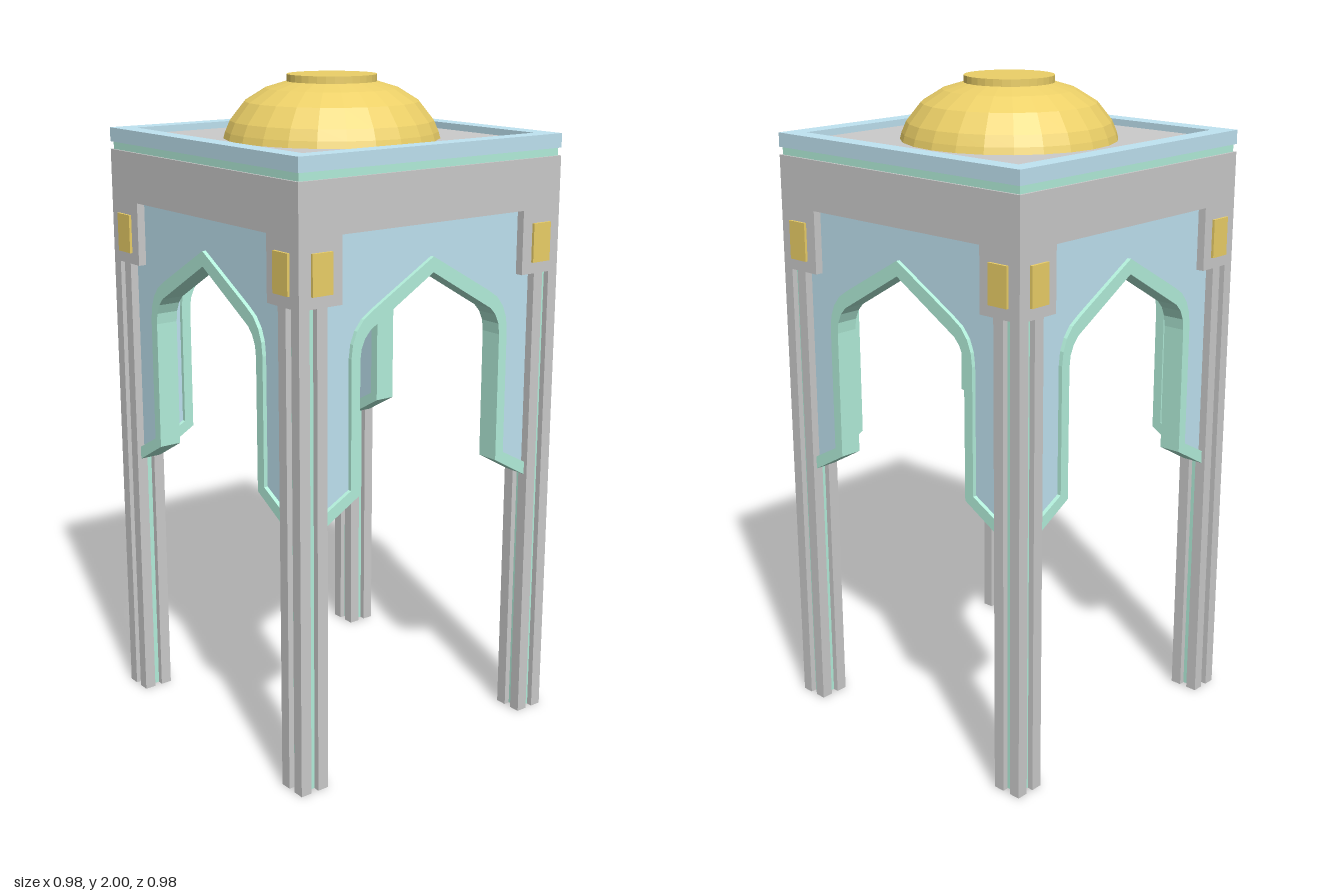
import * as THREE from 'three';

const mat = (color) => new THREE.MeshStandardMaterial({ color, flatShading: true });
const stone = mat(0xcccccc), blue = mat(0xc0e4f2), mint = mat(0xb4f0dc), gold = mat(0xecd068);

const OUT = 0.48, IN = 0.385, MID = (OUT + IN) / 2;

function add(parent, name, geometry, material, x = 0, y = 0, z = 0) {
  const mesh = new THREE.Mesh(geometry, material);
  mesh.name = name;
  mesh.position.set(x, y, z);
  parent.add(mesh);
  return mesh;
}

const box = (w, h, d) => new THREE.BoxGeometry(w, h, d);
const toShape = (pts) => new THREE.Shape(pts.map(([x, y]) => new THREE.Vector2(x, y)));
const extrude = (shape, depth) => new THREE.ExtrudeGeometry(shape, { depth, bevelEnabled: false });
// Extrude a plan outline upwards
const extrudeUp = (shape, height) => extrude(shape, height).rotateX(-Math.PI / 2);
const square = (r) => [[-r, -r], [r, -r], [r, r], [-r, r]];

function squareRing(outer, inner, height) {
  const shape = toShape(square(outer));
  shape.holes.push(new THREE.Path(square(inner).map(([x, y]) => new THREE.Vector2(x, y))));
  return extrudeUp(shape, height);
}

// Mirror the right half of an arch line (foot to apex) into a full line
const mirrorLine = (half) => [...half, ...half.slice(0, -1).reverse().map(([x, y]) => [-x, y])];
const archInner = mirrorLine([[IN, 0.8], [0.262, 0.87], [0.262, 1.26], [0.258, 1.293],
  [0.245, 1.322], [0.225, 1.344], [0.186, 1.367], [0, 1.477]]);
const archOuter = mirrorLine([[IN, 0.84], [0.293, 0.89], [0.293, 1.27], [0.288, 1.31],
  [0.274, 1.345], [0.25, 1.375], [0.212, 1.4], [0, 1.522]]);

// One face of the pavilion: spandrel panel, arch trim and corner plaques
function buildSide() {
  const side = new THREE.Group();
  side.name = 'archSide';
  const panel = toShape([...archOuter, [-IN, 1.63], [IN, 1.63]]);
  add(side, 'archPanel', extrude(panel, 0.045), blue, 0, 0, MID - 0.0225);
  const trim = toShape([...archInner, ...archOuter.slice().reverse()]);
  add(side, 'archTrim', extrude(trim, 0.07), mint, 0, 0, MID - 0.035);
  for (const s of [-1, 1]) {
    add(side, 'plaque', box(0.068, 0.116, 0.02), gold, s * 0.406, 1.522, 0.478);
  }
  return side;
}

// One corner: grooved leg with an inlaid core and an L-shaped bracket on top
function buildCorner() {
  const corner = new THREE.Group();
  corner.name = 'corner';
  const H = 1.43, g = 0.0125, h = (OUT - IN) / 2, d = 0.02;
  // Quarter outline of the grooved section, turned four times
  const section = [];
  for (let i = 0; i < 4; i++) {
    const c = Math.round(Math.cos(i * Math.PI / 2)), s = Math.round(Math.sin(i * Math.PI / 2));
    for (const [x, y] of [[h - d, g], [h, g], [h, h], [g, h], [g, h - d]]) {
      section.push([x * c - y * s, x * s + y * c]);
    }
  }
  add(corner, 'leg', extrudeUp(toShape(section), H), stone, MID, 0, -MID);
  // Mint strips in the bottom of each groove
  const w = 2 * (h - d) + 0.004;
  add(corner, 'grooveInlayX', box(w, H - 0.002, 2 * g), mint, MID, H / 2, -MID);
  add(corner, 'grooveInlayZ', box(2 * g, H - 0.002, w), mint, MID, H / 2, -MID);
  const a = 0.335;
  const bracket = toShape([[a, IN], [IN, IN], [IN, a], [OUT, a], [OUT, OUT], [a, OUT]]);
  add(corner, 'bracket', extrudeUp(bracket, 0.19), stone, 0, H, 0);
  return corner;
}

export function createModel() {
  const model = new THREE.Group();
  model.name = 'domedPavilion';

  for (let i = 0; i < 4; i++) {
    for (const part of [buildSide(), buildCorner()]) {
      part.rotation.y = i * Math.PI / 2;
      model.add(part);
    }
  }

  // Lintel and roof
  add(model, 'lintel', squareRing(OUT, IN, 0.15), stone, 0, 1.62, 0);
  add(model, 'corniceBand', squareRing(0.473, 0.42, 0.023), mint, 0, 1.77, 0);
  add(model, 'roofRim', squareRing(OUT, 0.422, 0.042), blue, 0, 1.793, 0);
  add(model, 'roofSlab', box(0.85, 0.045, 0.85), stone, 0, 1.7925, 0);

  // Faceted dome with a flat round cap
  const profile = [[0.325, 1.81], [0.318, 1.835], [0.304, 1.867], [0.26, 1.922],
    [0.198, 1.96], [0.125, 1.982], [0, 1.982]].map(([x, y]) => new THREE.Vector2(x, y));
  add(model, 'dome', new THREE.LatheGeometry(profile, 24), gold);
  add(model, 'domeCap', new THREE.CylinderGeometry(0.134, 0.134, 0.022, 32), gold, 0, 1.989, 0);
  return model;
}
